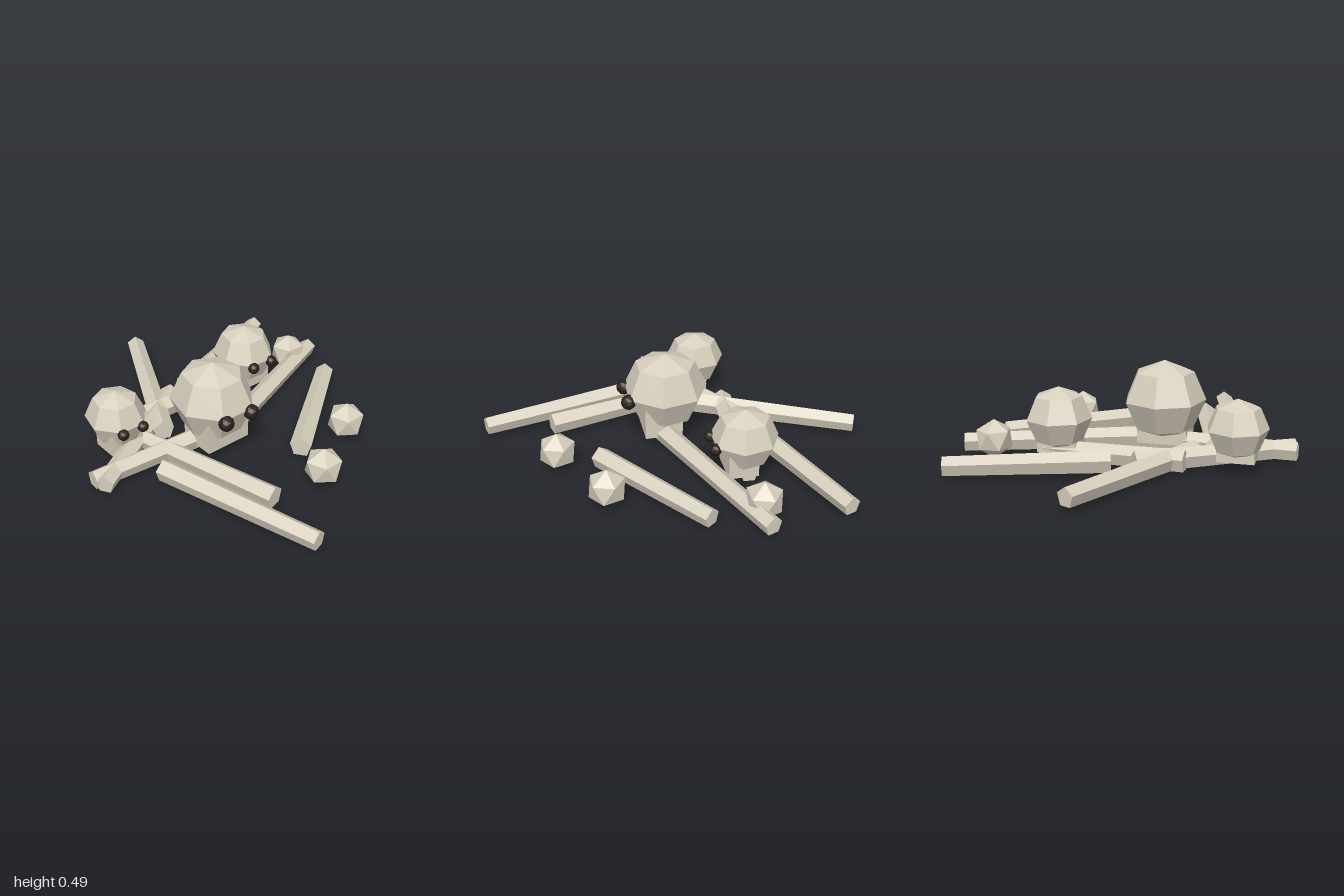
import * as THREE from 'three';

export function createModel() {
  const model = new THREE.Group();
  model.name = 'bonePile';

  const bone = new THREE.MeshStandardMaterial({ color: 0xd6cfbc, flatShading: true });
  bone.name = 'bone';
  const dark = new THREE.MeshStandardMaterial({ color: 0x2a2018, flatShading: true });
  dark.name = 'dark socket';

  const add = (parent, name, geometry, material, x, y, z) => {
    const mesh = new THREE.Mesh(geometry, material);
    mesh.name = name;
    mesh.position.set(x, y, z);
    parent.add(mesh);
    return mesh;
  };

  // Long bones: tapered five-sided shafts lying flat, ridge upward.
  // Each entry: thick end x, z, then thin end x, z.
  const bones = [
    [-0.34, -0.145, 0.065, -0.98],
    [0.02, -0.43, 0.775, -0.705],
    [-0.08, 0.06, 0.845, -0.295],
    [0.11, 0.42, 0.725, -0.03],
    [-0.535, 0.115, -0.305, 0.98],
    [-0.255, 0.63, -0.455, -0.15],
    [-0.04, 0.02, -0.845, -0.035],
    [-0.095, -0.41, -0.825, 0.035],
    [-0.33, -0.335, 0.42, -0.295],
  ];
  for (const [x0, z0, x1, z1] of bones) {
    const dx = x1 - x0, dz = z1 - z0;
    const shaft = new THREE.CylinderGeometry(0.049, 0.058, Math.hypot(dx, dz), 5);
    shaft.rotateX(-Math.PI / 2);
    const mesh = add(model, 'longBone', shaft, bone, (x0 + x1) / 2, 0.072, (z0 + z1) / 2);
    mesh.rotation.y = Math.atan2(-dx, -dz);
  }

  // Skulls: seven-sided cranium, boxy jaw and two dark sockets
  const cranium = new THREE.SphereGeometry(1, 7, 4);
  cranium.rotateY(-Math.PI / 2);
  cranium.scale(0.217, 0.208, 0.228);
  const jaw = new THREE.BoxGeometry(0.26, 0.18, 0.2);
  const socket = new THREE.IcosahedronGeometry(0.041, 1);

  const skulls = [
    [-0.145, 0.024, 1],
    [0.328, -0.288, 0.774],
    [-0.567, -0.232, 0.723],
  ];
  for (const [x, z, s] of skulls) {
    const skull = new THREE.Group();
    skull.name = 'skull';
    skull.position.set(x, 0.062, z);
    skull.scale.setScalar(s);
    add(skull, 'cranium', cranium, bone, 0, 0.225, 0);
    add(skull, 'jaw', jaw, bone, 0, 0.09, 0.03);
    for (const side of [-1, 1]) {
      add(skull, 'eyeSocket', socket, dark, side * 0.081, 0.21, 0.21);
    }
    model.add(skull);
  }

  // Loose knuckles: twenty-sided lumps standing on a vertex
  const knuckle = new THREE.IcosahedronGeometry(0.102, 0);
  knuckle.rotateZ(-Math.atan(2 / (1 + Math.sqrt(5))));
  knuckle.rotateY(Math.PI / 2);
  for (const [x, z] of [[0.063, 0.63], [0.428, 0.425], [0.678, -0.295]]) {
    add(model, 'knuckle', knuckle, bone, x, 0.105, z);
  }

  return model;
}
